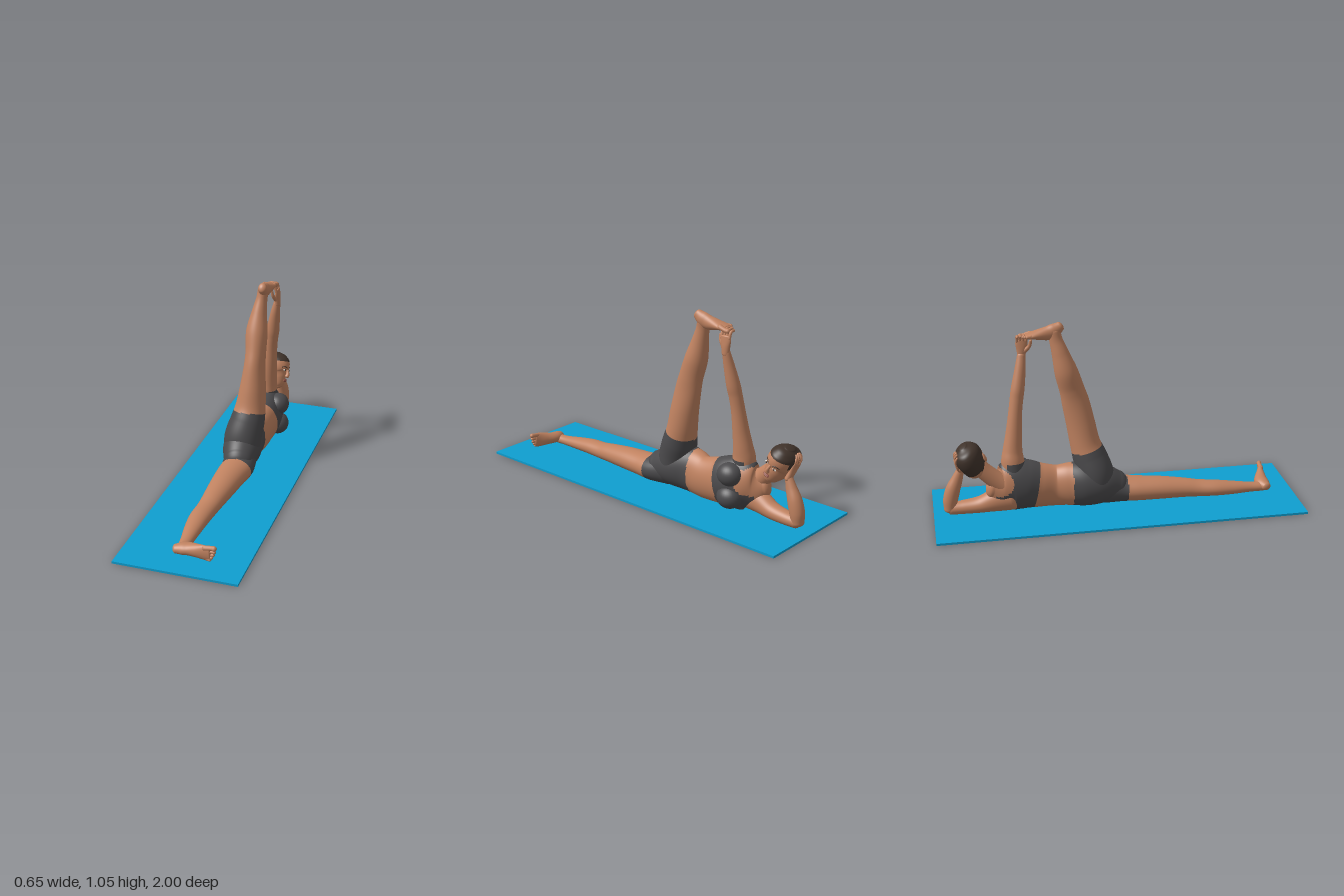
import * as THREE from 'three';

const flat = (name, color) => Object.assign(new THREE.MeshStandardMaterial({ color }), { name });
const skin = flat('skin', 0xc08260);
const cloth = flat('charcoal cloth', 0x4b4a4c);
const hair = flat('dark hair', 0x40332b);
const matBlue = flat('blue mat', 0x0f9fd0);
const white = flat('eye white', 0xe0d6cc);
const lip = flat('lips', 0x98574a);

const V = (x, y, z) => new THREE.Vector3(x, y, z);

// Smooth tube through elliptical sections [x, y, z, halfWidth along ref, halfDepth].
// paint(x, y, z) picks the material index of each small face.
function loft(name, sections, { ref = V(1, 0, 0), rings = 60, sides = 40, mats = [skin], paint = () => 0, round = 0.7 } = {}) {
  const path = new THREE.CatmullRomCurve3(sections.map(s => V(s[0], s[1], s[2])), false, 'catmullrom', 0.5);
  const size = new THREE.CatmullRomCurve3(sections.map(s => V(s[3], s[4], 0)), false, 'catmullrom', 0.5);
  const pos = [], caps = 6;
  let count = 0;
  const addRing = (t, k, push) => {
    const T = path.getTangent(t), r = size.getPoint(t);
    const c = path.getPoint(t).addScaledVector(T, push * Math.min(r.x, r.y) * round);
    const U = ref.clone().addScaledVector(T, -ref.dot(T)).normalize();
    const W = T.clone().cross(U);
    for (let j = 0; j < sides; j++) {
      const a = (j / sides) * Math.PI * 2;
      const p = c.clone().addScaledVector(U, Math.cos(a) * r.x * k).addScaledVector(W, Math.sin(a) * r.y * k);
      pos.push(p.x, p.y, p.z);
    }
    count++;
  };
  // Rounded start, body, rounded end
  for (let i = 0; i < caps; i++) {
    const a = (1 - i / caps) * Math.PI / 2;
    addRing(0, Math.max(Math.cos(a), 0.01), -Math.sin(a));
  }
  for (let i = 0; i <= rings; i++) addRing(i / rings, 1, 0);
  for (let i = 1; i <= caps; i++) {
    const a = (i / caps) * Math.PI / 2;
    addRing(1, Math.max(Math.cos(a), 0.01), Math.sin(a));
  }
  const lists = mats.map(() => []);
  for (let i = 0; i < count - 1; i++) {
    for (let j = 0; j < sides; j++) {
      const a = i * sides + j, b = i * sides + (j + 1) % sides, c = b + sides, d = a + sides;
      const mid = k => (pos[a * 3 + k] + pos[b * 3 + k] + pos[c * 3 + k] + pos[d * 3 + k]) / 4;
      lists[paint(mid(0), mid(1), mid(2))].push(a, b, c, a, c, d);
    }
  }
  const g = new THREE.BufferGeometry();
  g.setAttribute('position', new THREE.Float32BufferAttribute(pos, 3));
  g.setIndex(lists.flat());
  let start = 0;
  lists.forEach((l, i) => { g.addGroup(start, l.length, i); start += l.length; });
  g.computeVertexNormals();
  const mesh = new THREE.Mesh(g, mats.length > 1 ? mats : mats[0]);
  mesh.name = name;
  return mesh;
}

function blob(name, material, [x, y, z], [a, b, c]) {
  const m = new THREE.Mesh(new THREE.SphereGeometry(1, 28, 20), material);
  m.name = name;
  m.position.set(x, y, z);
  m.scale.set(a, b, c);
  return m;
}

// Turns a group so its local y and z follow the given directions.
function place(group, origin, yDir, zDir) {
  const y = yDir.clone().normalize(), x = y.clone().cross(zDir).normalize(), z = x.clone().cross(y);
  group.quaternion.setFromRotationMatrix(new THREE.Matrix4().makeBasis(x, y, z));
  group.position.copy(origin);
  return group;
}

// Foot: heel at origin, toes along +z, sole on y = 0, big toe on side * x.
function makeFoot(name, side) {
  const g = new THREE.Group();
  g.name = name;
  g.add(loft(name + 'Body', [
    [0, 0.03, 0.016, 0.023, 0.027], [0, 0.039, 0.05, 0.03, 0.038], [0, 0.041, 0.085, 0.031, 0.038],
    [0, 0.031, 0.13, 0.036, 0.029], [0, 0.021, 0.17, 0.041, 0.019], [0, 0.015, 0.198, 0.04, 0.013]], { rings: 30, sides: 32 }));
  [[0.031, 0.226, 0.0135], [0.011, 0.224, 0.0095], [-0.006, 0.217, 0.009], [-0.021, 0.208, 0.0085], [-0.034, 0.197, 0.008]]
    .forEach(([x, end, r], i) => g.add(loft('toe' + (i + 1), [
      [side * x * 0.9, 0.016, 0.175, r, r], [side * x, 0.015, end - 0.015, r * 0.9, r * 0.9], [side * x, 0.012, end, r, r]],
      { rings: 8, sides: 12, round: 1 })));
  return g;
}

// Hand: wrist at origin, fingers along +y, palm facing +z, thumb on side * x.
function makeHand(name, side, curl) {
  const g = new THREE.Group();
  g.name = name;
  g.add(loft('palm', [[0, -0.015, 0, 0.021, 0.017], [0, 0.02, 0, 0.026, 0.016], [0, 0.05, 0, 0.032, 0.013], [0, 0.074, 0, 0.031, 0.01]],
    { rings: 16, sides: 24 }));
  [[0.024, 0.058], [0.008, 0.066], [-0.008, 0.06], [-0.023, 0.048]].forEach(([x, len], i) => g.add(loft('finger' + (i + 1), [
    [side * x, 0.065, 0, 0.008, 0.008], [side * x * 1.1, 0.075 + len * 0.45, curl * 0.25 * len, 0.0078, 0.0078],
    [side * x * 1.1, 0.075 + len * (0.9 - 0.4 * curl), curl * 0.8 * len, 0.0065, 0.0065]], { rings: 10, sides: 12, round: 1 })));
  g.add(loft('thumb', [[side * 0.018, 0.018, 0.006, 0.012, 0.011], [side * 0.04, 0.045, 0.014, 0.01, 0.009], [side * 0.046, 0.075, 0.02, 0.008, 0.007]],
    { rings: 10, sides: 12, round: 1 }));
  return g;
}

// Head: y up, face along +z.
function makeHead() {
  const g = new THREE.Group();
  g.name = 'head';
  const hairline = (x, y, z) => {
    const limit = z > 0.035 ? 0.058 : z > 0.0 ? 0.025 : -0.055;
    return y > limit ? 1 : 0;
  };
  g.add(loft('skull', [
    [0, -0.1, 0.05, 0.022, 0.025], [0, -0.085, 0.042, 0.038, 0.042], [0, -0.055, 0.025, 0.054, 0.064],
    [0, -0.02, 0.004, 0.066, 0.086], [0, 0.02, -0.004, 0.074, 0.097], [0, 0.06, -0.008, 0.07, 0.092],
    [0, 0.085, -0.01, 0.052, 0.07], [0, 0.1, -0.012, 0.026, 0.036]],
    { mats: [skin, hair], paint: hairline, rings: 60, sides: 60, round: 0.25 }));
  g.add(loft('nose', [[0, 0.015, 0.085, 0.007, 0.006], [0, -0.012, 0.093, 0.009, 0.01], [0, -0.027, 0.092, 0.014, 0.013]],
    { rings: 12, sides: 16 }));
  g.add(blob('upperLip', lip, [0, -0.05, 0.084], [0.021, 0.005, 0.008]));
  g.add(blob('lowerLip', lip, [0, -0.058, 0.083], [0.018, 0.005, 0.008]));
  for (const s of [-1, 1]) {
    g.add(blob('ear', skin, [s * 0.074, -0.008, -0.005], [0.008, 0.026, 0.016]));
    g.add(blob('eye', white, [s * 0.029, 0.008, 0.081], [0.013, 0.006, 0.006]));
    g.add(blob('iris', hair, [s * 0.029, 0.008, 0.084], [0.0062, 0.006, 0.0045]));
    g.add(loft('eyebrow', [[s * 0.014, 0.023, 0.089, 0.003, 0.003], [s * 0.032, 0.028, 0.083, 0.003, 0.003], [s * 0.048, 0.023, 0.07, 0.002, 0.002]],
      { ref: V(0, 1, 0), rings: 8, sides: 8, mats: [hair] }));
  }
  return g;
}

export function createModel() {
  const model = new THREE.Group();
  model.name = 'stretchingFigure';

  const mat = new THREE.Mesh(new THREE.BoxGeometry(0.65, 0.012, 2), matBlue);
  mat.name = 'exerciseMat';
  mat.position.y = 0.006;
  model.add(mat);

  // Torso with shorts and cropped top
  const two = [skin, cloth];
  const topCloth = (x, y, z) => z < -0.46 + 0.15 * y && z > -0.665 && Math.hypot(y - 0.2, z + 0.645) > 0.075;
  model.add(loft('torso', [
    [0.005, 0.105, 0.0, 0.082, 0.085], [-0.005, 0.13, -0.09, 0.105, 0.115], [-0.01, 0.14, -0.17, 0.104, 0.126],
    [0, 0.138, -0.25, 0.088, 0.124], [0.015, 0.13, -0.33, 0.078, 0.117], [0.012, 0.14, -0.42, 0.088, 0.126],
    [0.01, 0.154, -0.5, 0.1, 0.14], [0, 0.162, -0.575, 0.092, 0.145], [-0.015, 0.155, -0.635, 0.07, 0.11],
    [-0.03, 0.165, -0.685, 0.042, 0.055]],
    { mats: two, rings: 110, sides: 64, paint: (x, y, z) => (z > -0.245 || topCloth(x, y, z) ? 1 : 0) }));
  for (const y of [0.225, 0.1]) model.add(blob('bust', cloth, [0.078, y, -0.535], [0.062, 0.062, 0.07]));
  model.add(loft('neck', [[-0.025, 0.165, -0.6, 0.055, 0.06], [-0.03, 0.215, -0.665, 0.046, 0.05],
    [-0.03, 0.26, -0.715, 0.045, 0.046], [-0.03, 0.3, -0.755, 0.045, 0.046]]));
  model.add(place(makeHead(), V(-0.022, 0.325, -0.785), V(0.05, 0.9, -0.42), V(0.97, -0.08, 0.2)));

  // Leg resting on the mat
  model.add(loft('leftLeg', [
    [0, 0.1, -0.06, 0.09, 0.085], [0.01, 0.085, 0.03, 0.09, 0.071], [0.002, 0.08, 0.12, 0.084, 0.066],
    [-0.005, 0.075, 0.25, 0.074, 0.061], [-0.012, 0.067, 0.38, 0.062, 0.052], [-0.018, 0.06, 0.46, 0.056, 0.046],
    [-0.026, 0.056, 0.56, 0.054, 0.042], [-0.026, 0.049, 0.66, 0.045, 0.035], [-0.022, 0.042, 0.76, 0.033, 0.027],
    [-0.02, 0.04, 0.83, 0.031, 0.026]],
    { mats: two, rings: 100, paint: (x, y, z) => (z < 0.06 ? 1 : 0) }));
  model.add(place(makeFoot('leftFoot', -1), V(-0.062, 0.046, 0.878), V(0, 0, -1), V(0.99, 0.09, 0)));

  // Raised leg
  model.add(loft('rightLeg', [
    [-0.005, 0.11, -0.1, 0.1, 0.09], [-0.005, 0.2, -0.115, 0.104, 0.097], [0.012, 0.29, -0.145, 0.096, 0.093],
    [0.022, 0.37, -0.169, 0.084, 0.082], [0.028, 0.48, -0.19, 0.071, 0.078], [0.03, 0.6, -0.215, 0.058, 0.074],
    [0.03, 0.68, -0.235, 0.056, 0.067], [0.026, 0.78, -0.264, 0.059, 0.062], [0.03, 0.88, -0.292, 0.042, 0.046],
    [0.037, 0.95, -0.312, 0.031, 0.036], [0.043, 1.0, -0.322, 0.03, 0.034]],
    { mats: two, rings: 110, paint: (x, y, z) => (y < 0.385 + 0.27 * z ? 1 : 0) }));
  model.add(place(makeFoot('rightFoot', 1), V(0.048, 1.058, -0.283), V(0, -0.95, 0.3), V(-0.05, -0.3, -0.95)));

  // Raised arm holding the foot
  model.add(loft('rightArm', [
    [-0.005, 0.22, -0.56, 0.066, 0.062], [-0.002, 0.3, -0.565, 0.06, 0.062], [0.006, 0.36, -0.563, 0.052, 0.053],
    [0.015, 0.45, -0.553, 0.044, 0.044], [0.026, 0.56, -0.541, 0.037, 0.037], [0.036, 0.64, -0.53, 0.035, 0.036],
    [0.045, 0.7, -0.52, 0.036, 0.036], [0.06, 0.8, -0.503, 0.027, 0.029], [0.073, 0.87, -0.494, 0.019, 0.022]],
    { mats: two, rings: 90, paint: (x, y, z) => (y < 0.3 && z > -0.6 ? 1 : 0) }));
  model.add(place(makeHand('rightHand', 1, 0.9), V(0.076, 0.878, -0.492), V(0, 1, 0.03), V(-1, 0, 0)));

  // Bent arm supporting the head
  model.add(loft('leftUpperArm', [[-0.02, 0.1, -0.58, 0.065, 0.075], [-0.015, 0.085, -0.66, 0.058, 0.065],
    [-0.005, 0.06, -0.75, 0.05, 0.045], [0, 0.05, -0.84, 0.042, 0.037], [0, 0.046, -0.905, 0.036, 0.033]]));
  model.add(loft('leftForearm', [[0, 0.046, -0.912, 0.035, 0.033], [0.002, 0.1, -0.906, 0.039, 0.04],
    [0.002, 0.16, -0.89, 0.037, 0.039], [0, 0.22, -0.865, 0.027, 0.03], [-0.002, 0.272, -0.846, 0.02, 0.02]]));
  model.add(place(makeHand('leftHand', -1, 0.4), V(-0.003, 0.275, -0.848), V(-0.42, 0.85, -0.28), V(0, 0.25, 0.97)));

  return model;
}
